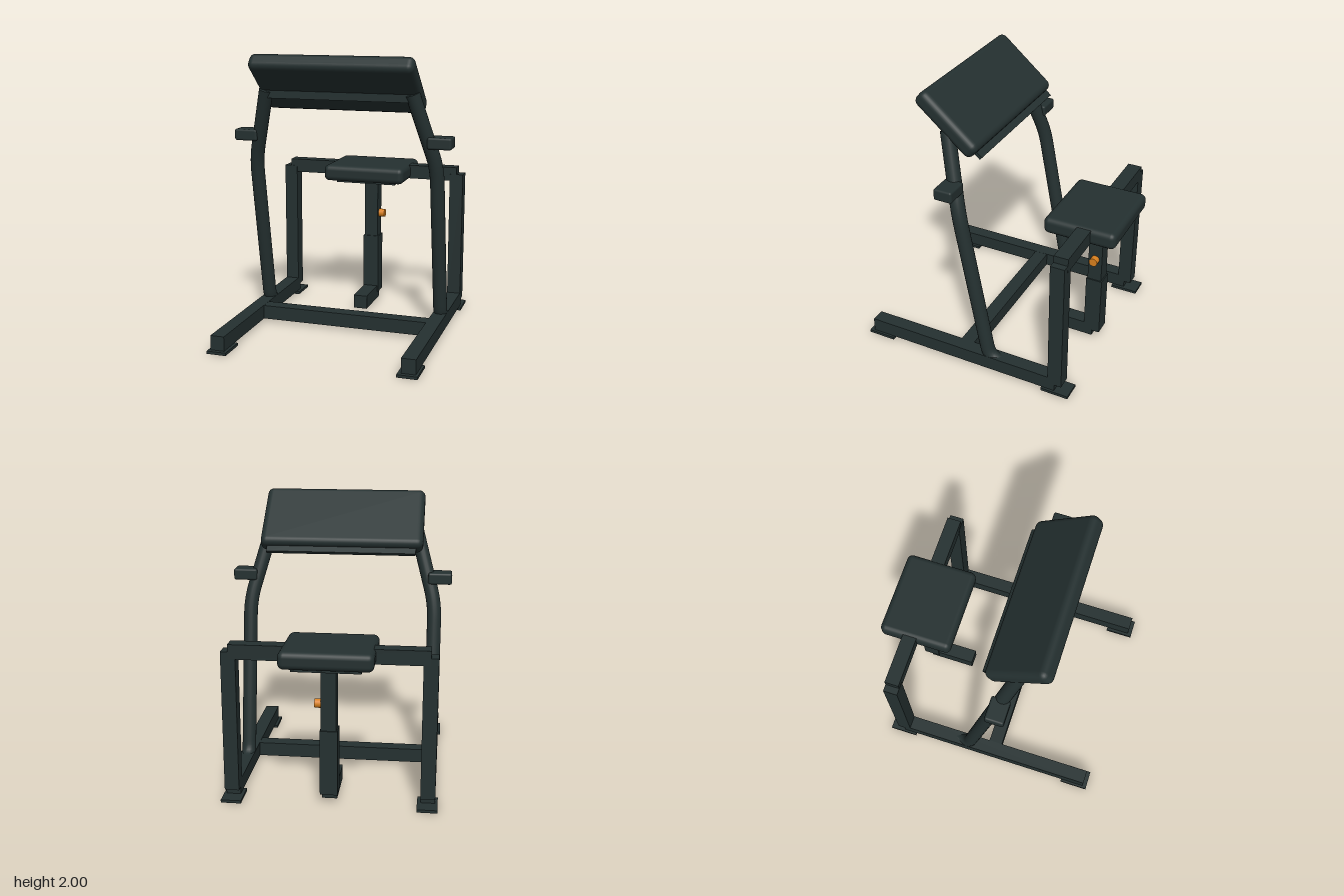
import * as THREE from 'three';
import { RoundedBoxGeometry } from 'three/addons/geometries/RoundedBoxGeometry.js';

export function createModel() {
  const model = new THREE.Group();
  model.name = 'armCurlBench';
  const frameMat = new THREE.MeshStandardMaterial({ color: 0x243030 });
  frameMat.name = 'dark frame';
  const knobMat = new THREE.MeshStandardMaterial({ color: 0xd9801e });
  knobMat.name = 'orange knob';

  const add = (name, geometry, parent = model, material = frameMat) => {
    const mesh = new THREE.Mesh(geometry, material);
    mesh.name = name;
    parent.add(mesh);
    return mesh;
  };
  // Box given by its [min, max] range on each axis; radius rounds its edges
  const box = (name, [x0, x1], [y0, y1], [z0, z1], radius = 0, parent = model) => {
    const size = [x1 - x0, y1 - y0, z1 - z0];
    const geometry = radius
      ? new RoundedBoxGeometry(...size, 3, radius)
      : new THREE.BoxGeometry(...size);
    const mesh = add(name, geometry, parent);
    mesh.position.set((x0 + x1) / 2, (y0 + y1) / 2, (z0 + z1) / 2);
    return mesh;
  };
  // Straight runs joined by rounded bends
  const bentPath = (points, bend) => {
    const path = new THREE.CurvePath();
    let start = points[0];
    for (let i = 1; i < points.length - 1; i++) {
      const p = points[i];
      const toward = (q) => p.clone().add(q.clone().sub(p).setLength(bend));
      const a = toward(points[i - 1]);
      const b = toward(points[i + 1]);
      path.add(new THREE.LineCurve3(start, a));
      path.add(new THREE.QuadraticBezierCurve3(a, p, b));
      start = b;
    }
    path.add(new THREE.LineCurve3(start, points[points.length - 1]));
    return path;
  };

  for (const s of [1, -1]) {
    const side = new THREE.Group();
    side.name = s > 0 ? 'leftSide' : 'rightSide';
    model.add(side);
    const span = (a, b) => (s > 0 ? [a, b] : [-b, -a]);

    // Floor rail, feet and rear post
    box('floorRail', span(0.62, 0.72), [0.02, 0.123], [-0.64, 0.84], 0, side);
    box('frontFoot', span(0.597, 0.737), [0, 0.02], [0.665, 0.87], 0, side);
    box('rearFoot', span(0.597, 0.737), [0, 0.02], [-0.75, -0.545], 0, side);
    box('rearPost', span(0.62, 0.72), [0.07, 1.06], [-0.693, -0.59], 0, side);

    // Bent round upright
    const path = bentPath([
      new THREE.Vector3(s * 0.67, 0.073, -0.25),
      new THREE.Vector3(s * 0.67, 0.073, -0.115),
      new THREE.Vector3(s * 0.67, 1.23, 0.1),
      new THREE.Vector3(s * 0.525, 1.75, 0.245),
    ], 0.11);
    add('upright', new THREE.TubeGeometry(path, 64, 0.05, 20), side);
    const cap = add('uprightCap', new THREE.CircleGeometry(0.05, 20), side);
    const end = path.getPoint(1);
    cap.position.copy(end);
    cap.lookAt(end.clone().add(path.getTangent(1)));

    // Bar rest
    box('barRest', span(0.62, 0.79), [1.373, 1.455], [0.082, 0.216], 0.015, side);
  }

  // Cross members
  box('floorCrossbar', [-0.65, 0.65], [0.021, 0.122], [0.04, 0.142]);
  box('seatCrossbar', [-0.67, 0.67], [1.01, 1.112], [-0.695, -0.592]);
  box('padCrossbar', [-0.53, 0.53], [1.69, 1.745], [0.19, 0.27]);

  // Tilted arm pad with its backing plate
  const armRest = new THREE.Group();
  armRest.name = 'armRest';
  armRest.position.set(0, 1.803, 0.239);
  armRest.rotation.x = THREE.MathUtils.degToRad(-40.5);
  model.add(armRest);
  box('armPad', [-0.58, 0.58], [-0.062, 0.062], [-0.263, 0.263], 0.045, armRest);
  box('armPadPlate', [-0.53, 0.53], [-0.01, 0.014], [-0.313, 0], 0, armRest);

  // Seat and its adjustable column
  box('seatPad', [-0.312, 0.312], [1.0, 1.122], [-0.87, -0.345], 0.04);
  box('seatPlate', [-0.23, 0.23], [0.98, 1.005], [-0.82, -0.43]);
  box('seatColumn', [-0.052, 0.052], [0.5, 0.985], [-0.693, -0.59]);
  box('columnSleeve', [-0.06, 0.06], [0.073, 0.532], [-0.702, -0.582]);
  box('columnFoot', [-0.052, 0.052], [0.022, 0.123], [-0.642, -0.3]);

  // Adjustment knob
  const knob = add('adjustmentKnob', new THREE.CylinderGeometry(0.031, 0.031, 0.06, 20), model, knobMat);
  knob.rotation.z = Math.PI / 2;
  knob.position.set(0.068, 0.71, -0.642);

  return model;
}
